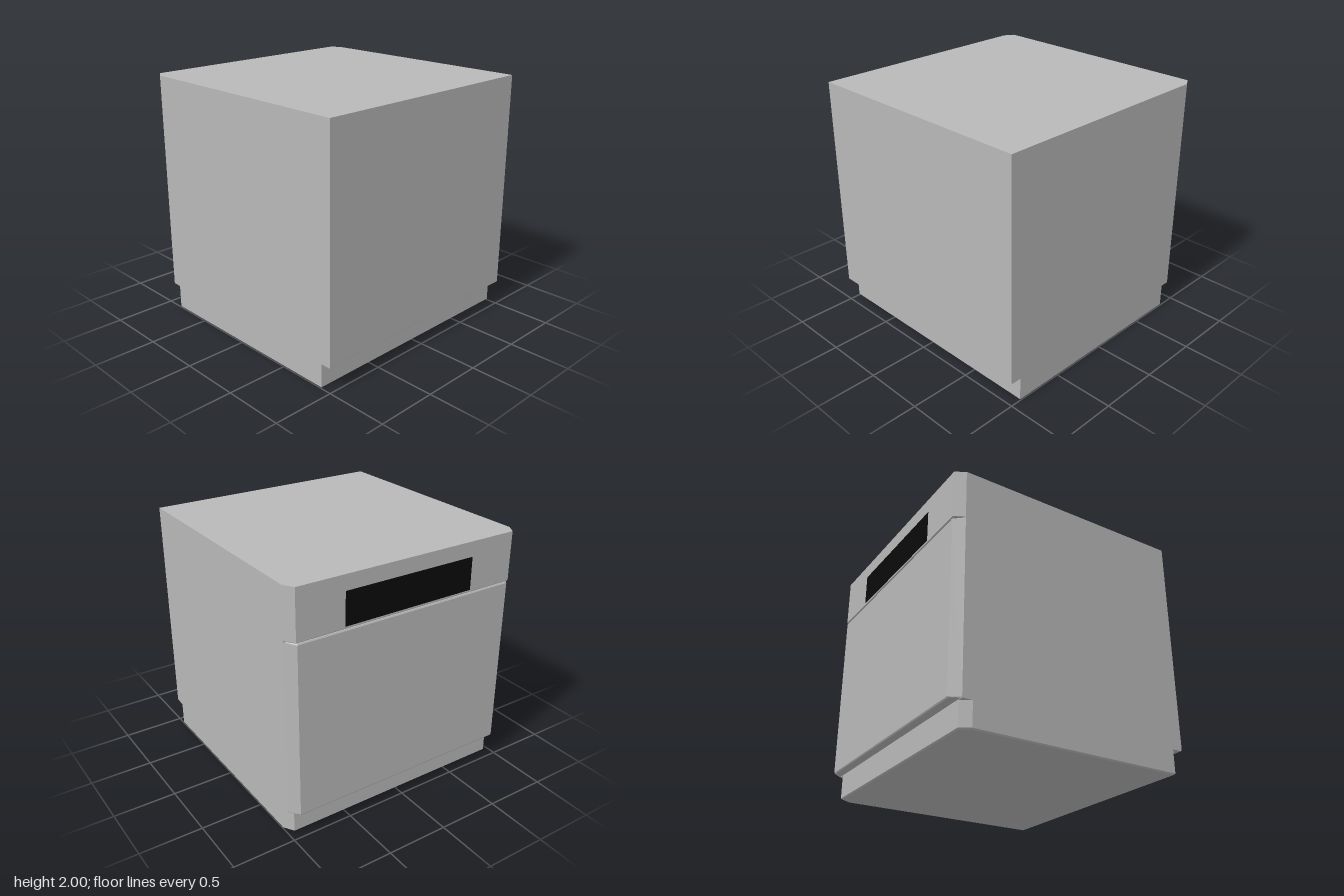
import * as THREE from 'three';
import { ConvexGeometry } from 'three/addons/geometries/ConvexGeometry.js';

// Half outlines on the +x side as [x, z]; mirrored to -x.
// Each level is [height, inset]; the hull of all levels is a faceted slab.
function slab(name, outline, levels, material) {
  const zs = outline.map((p) => p[1]);
  const zMid = (Math.max(...zs) + Math.min(...zs)) / 2;
  const points = [];
  for (const [y, inset] of levels) {
    for (const [x, z] of outline) {
      for (const side of [1, -1]) {
        points.push(new THREE.Vector3(side * (x - inset), y, z - Math.sign(z - zMid) * inset));
      }
    }
  }
  const mesh = new THREE.Mesh(new ConvexGeometry(points), material);
  mesh.name = name;
  return mesh;
}

export function createModel() {
  const group = new THREE.Group();
  group.name = 'dishwasher';
  const casing = new THREE.MeshStandardMaterial({ color: 0xb8b8b8 });
  casing.name = 'grey casing';
  const black = new THREE.MeshStandardMaterial({ color: 0x0a0a0a });
  black.name = 'black display';

  // Main cabinet, extruded across the width with a small bevel under its long edge
  const profile = new THREE.Shape();
  [[-1, 0.21], [-0.99, 0.2], [0.92, 0.2], [0.92, 2], [-1, 2]].forEach(([a, y], i) =>
    i ? profile.lineTo(a, y) : profile.moveTo(a, y));
  const cabinetGeometry = new THREE.ExtrudeGeometry(profile, { depth: 2, bevelEnabled: false });
  cabinetGeometry.translate(0, 0, -1).rotateY(Math.PI / 2);
  const cabinet = new THREE.Mesh(cabinetGeometry, casing);
  cabinet.name = 'cabinet';

  // Recessed plinth with chamfered corners on the door side
  const plinth = slab('plinth',
    [[1, 0.91], [1, -0.84], [0.95, -0.92]],
    [[0, 0.01], [0.01, 0], [0.2, 0]], casing);

  // Door, separated from the control panel by a narrow groove
  const door = slab('door',
    [[1, -0.92], [0.94, -1]],
    [[0.2, 0.006], [0.21, 0], [1.585, 0], [1.595, 0.006]], casing);

  // Control panel above the door
  const panel = slab('controlPanel',
    [[1, -0.92], [0.95, -1]],
    [[1.6, 0.006], [1.607, 0], [2, 0]], casing);

  // Dark display strip on the control panel
  const display = new THREE.Mesh(new THREE.BoxGeometry(1.12, 0.26, 0.004), black);
  display.name = 'displayStrip';
  display.position.set(0, 1.75, -1);

  group.add(cabinet, plinth, door, panel, display);
  return group;
}
